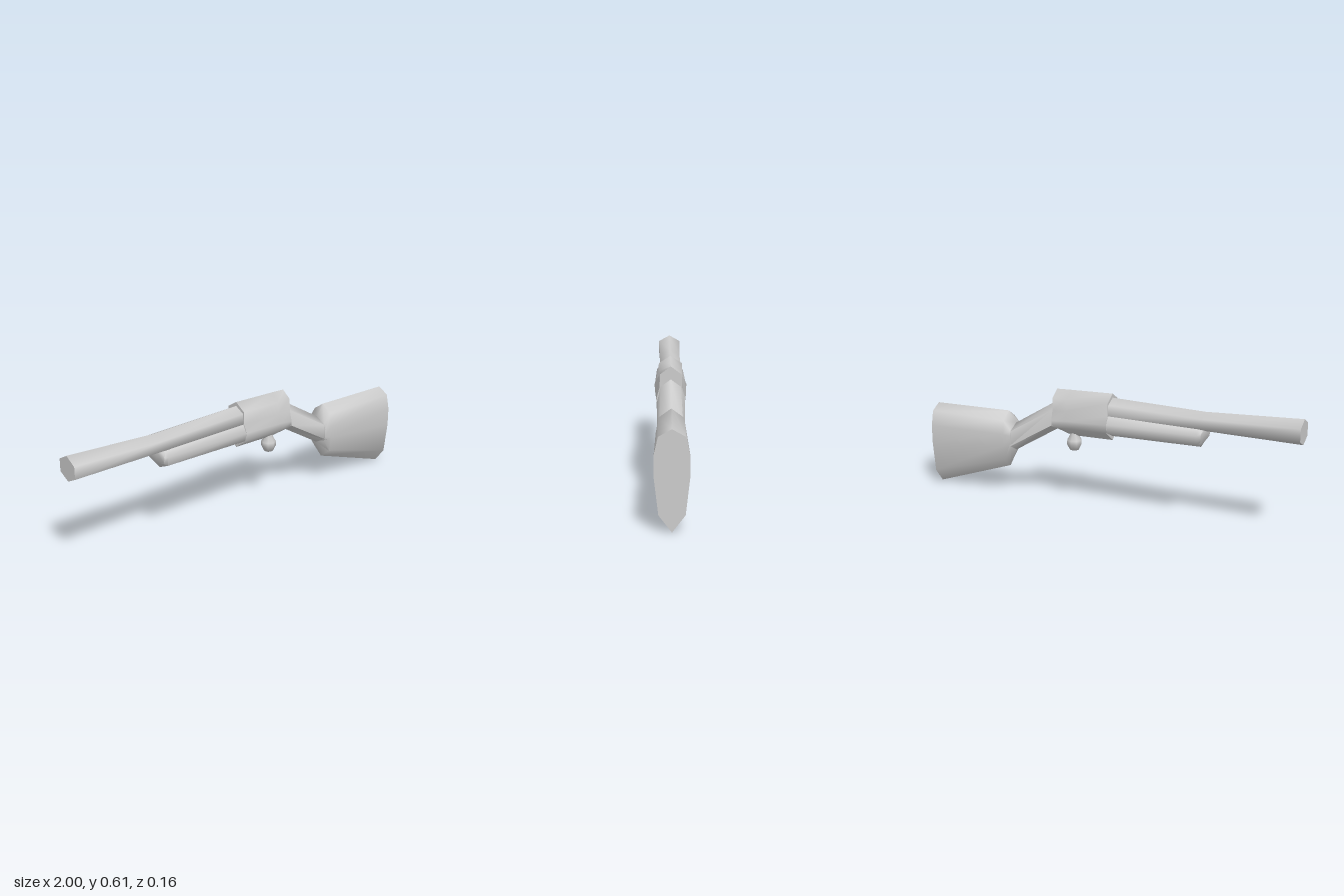
import * as THREE from 'three';
import { toCreasedNormals } from 'three/addons/utils/BufferGeometryUtils.js';

const material = new THREE.MeshStandardMaterial({ color: 0xcccccc });

// Lofts mirrored cross-sections along x. A section is [x, [y, halfWidth], ...] from top to bottom.
function loft(name, sections, crease = 1.25) {
  const rings = sections.map(([x, ...half]) => {
    const front = half.map(([y, z]) => [x, y, z]);
    const back = half.slice(1, -1).reverse().map(([y, z]) => [x, y, -z]);
    return [...front, ...back];
  });
  const n = rings[0].length;
  const index = [];
  for (let s = 0; s < rings.length - 1; s++) {
    for (let i = 0; i < n; i++) {
      const a = s * n + i, b = s * n + (i + 1) % n;
      index.push(a, b, a + n, b, b + n, a + n);
    }
  }
  // End caps
  const last = (rings.length - 1) * n;
  for (let i = 1; i < n - 1; i++) {
    index.push(0, i + 1, i, last, last + i, last + i + 1);
  }
  const geometry = new THREE.BufferGeometry();
  geometry.setAttribute('position', new THREE.Float32BufferAttribute(rings.flat(2), 3));
  geometry.setIndex(index);
  const mesh = new THREE.Mesh(toCreasedNormals(geometry, crease), material);
  mesh.name = name;
  return mesh;
}

export function createModel() {
  const group = new THREE.Group();
  group.name = 'rifle';

  // Six-sided barrel, slightly flared at the muzzle
  group.add(loft('barrel', [
    [-1, [0.605, 0], [0.572, 0.06], [0.51, 0.06], [0.48, 0]],
    [-0.52, [0.58, 0], [0.555, 0.052], [0.505, 0.052], [0.484, 0]],
    [0, [0.592, 0], [0.565, 0.052], [0.5, 0.055], [0.47, 0]],
  ]));

  // Fore-end under the barrel, chamfered at its tip
  group.add(loft('foreEnd', [
    [-0.52, [0.495, 0], [0.492, 0.052], [0.475, 0.066], [0.445, 0.06], [0.435, 0]],
    [-0.5, [0.51, 0], [0.505, 0.052], [0.475, 0.07], [0.43, 0.063], [0.402, 0]],
    [0, [0.54, 0], [0.51, 0.055], [0.47, 0.078], [0.425, 0.068], [0.393, 0]],
  ]));

  // Receiver, a sleeve that steps out from the barrel and fore-end
  group.add(loft('receiver', [
    [-0.03, [0.612, 0], [0.575, 0.058], [0.51, 0.06], [0.47, 0.08], [0.425, 0.07], [0.372, 0]],
    [0.2, [0.605, 0], [0.568, 0.054], [0.505, 0.056], [0.46, 0.074], [0.42, 0.068], [0.368, 0]],
    [0.28, [0.602, 0], [0.565, 0.05], [0.5, 0.054], [0.45, 0.068], [0.42, 0.066], [0.392, 0]],
  ]));

  // Wrist sloping down to the butt
  group.add(loft('wrist', [
    [0.24, [0.56, 0], [0.53, 0.046], [0.445, 0.066], [0.41, 0]],
    [0.28, [0.54, 0], [0.505, 0.048], [0.425, 0.067], [0.392, 0]],
    [0.54, [0.382, 0], [0.352, 0.056], [0.272, 0.064], [0.236, 0]],
  ]));

  // Butt stock with a short shoulder at the wrist
  group.add(loft('stock', [
    [0.525, [0.392, 0], [0.365, 0.057], [0.335, 0.066], [0.295, 0.066], [0.27, 0.06], [0.246, 0]],
    [0.565, [0.452, 0], [0.41, 0.058], [0.34, 0.07], [0.28, 0.07], [0.2, 0.058], [0.152, 0]],
    [1, [0.444, 0], [0.412, 0.058], [0.335, 0.076], [0.24, 0.076], [0.078, 0.057], [0.004, 0]],
  ]));

  // Rounded trigger knob
  const profile = [[0, 0.292], [0.024, 0.294], [0.039, 0.325], [0.038, 0.345], [0.022, 0.372], [0.022, 0.4]];
  const knob = new THREE.LatheGeometry(profile.map(([r, y]) => new THREE.Vector2(r, y)), 8);
  const trigger = new THREE.Mesh(knob, material);
  trigger.name = 'trigger';
  trigger.position.x = 0.185;
  group.add(trigger);

  return group;
}
